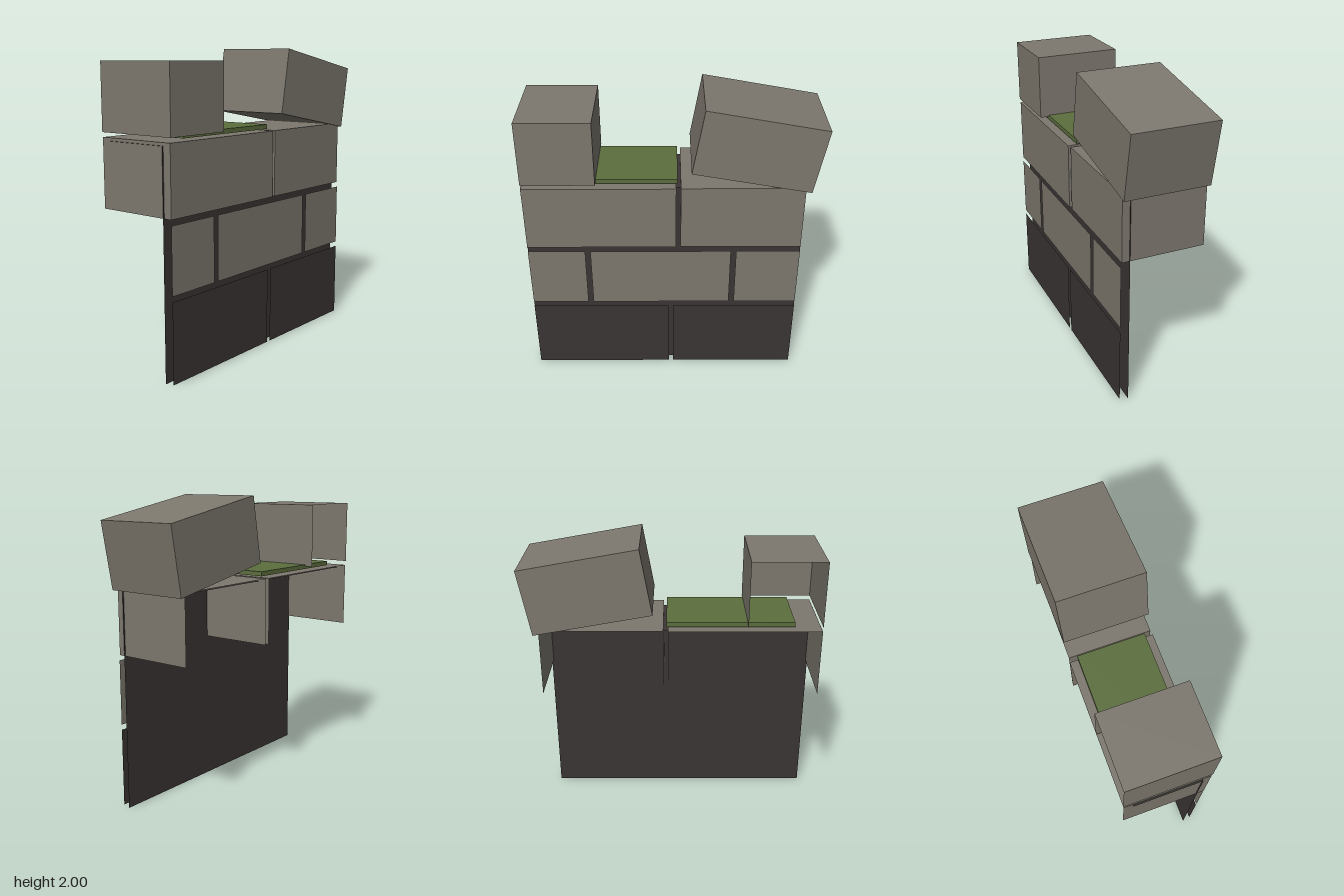
import * as THREE from 'three';
import { mergeGeometries } from 'three/addons/utils/BufferGeometryUtils.js';

const material = (name, color) => {
  const m = new THREE.MeshStandardMaterial({ color, side: THREE.DoubleSide });
  m.name = name;
  return m;
};

// Upright rectangle facing +z
const frontFace = (x0, x1, y0, y1, z) =>
  new THREE.PlaneGeometry(x1 - x0, y1 - y0).translate((x0 + x1) / 2, (y0 + y1) / 2, z);

// Flat rectangle facing +y
const topFace = (x0, x1, y, z0, z1) =>
  new THREE.PlaneGeometry(x1 - x0, z1 - z0).rotateX(-Math.PI / 2).translate((x0 + x1) / 2, y, (z0 + z1) / 2);

// Upright rectangle facing +x (side 1) or -x (side -1)
const endFace = (x, y0, y1, z0, z1, side) =>
  new THREE.PlaneGeometry(z1 - z0, y1 - y0).rotateY(side * Math.PI / 2).translate(x, (y0 + y1) / 2, (z0 + z1) / 2);

// Stone shell with front, top and ends, open at the back and bottom
const shell = (x0, x1, y0, y1, z0, z1) => mergeGeometries([
  frontFace(x0, x1, y0, y1, z1),
  topFace(x0, x1, y1, z0, z1),
  endFace(x0, y0, y1, z0, z1, -1),
  endFace(x1, y0, y1, z0, z1, 1),
]);

export function createModel() {
  const model = new THREE.Group();
  model.name = 'ruinedWall';
  const stone = material('stone', 0x7d786e);
  const mortar = material('mortar', 0x3b3535);
  const moss = material('moss', 0x5c6e3e);

  const add = (name, geometry, mat) => {
    const mesh = new THREE.Mesh(geometry, mat);
    mesh.name = name;
    model.add(mesh);
    return mesh;
  };

  // Mortar backing: a thin front sheet folded over the top
  add('mortarBacking', mergeGeometries([
    frontFace(-0.97, 0.86, 0, 1.44, 0.22),
    topFace(-0.97, 0.86, 1.44, -0.23, 0.22),
  ]), mortar);

  // Dark base course
  for (const [x0, x1] of [[-0.96, -0.025], [0.005, 0.85]])
    add('baseStone', frontFace(x0, x1, 0.005, 0.52, 0.275), mortar);

  // Middle course
  for (const [x0, x1] of [[-0.96, -0.58], [-0.545, 0.39], [0.425, 0.85]])
    add('middleStone', frontFace(x0, x1, 0.555, 0.98, 0.275), stone);

  // Upper course
  add('upperStoneRight', shell(-0.96, 0.025, 1.015, 1.46, -0.29, 0.275), stone);
  add('upperStoneLeft', shell(0.055, 0.85, 1.015, 1.46, -0.285, 0.27), stone);

  // Loose blocks on top
  add('topStone', shell(-0.96, -0.487, 1.49, 1.92, -0.295, 0.28), stone);
  const fallen = add('tiltedStone', new THREE.BoxGeometry(0.778, 0.437, 0.567), stone);
  fallen.position.set(0.543, 1.715, -0.006);
  fallen.rotation.z = -0.178;

  // Moss slab
  add('mossPatch', new THREE.BoxGeometry(0.825, 0.03, 0.455).translate(-0.378, 1.485, -0.007), moss);

  return model;
}
